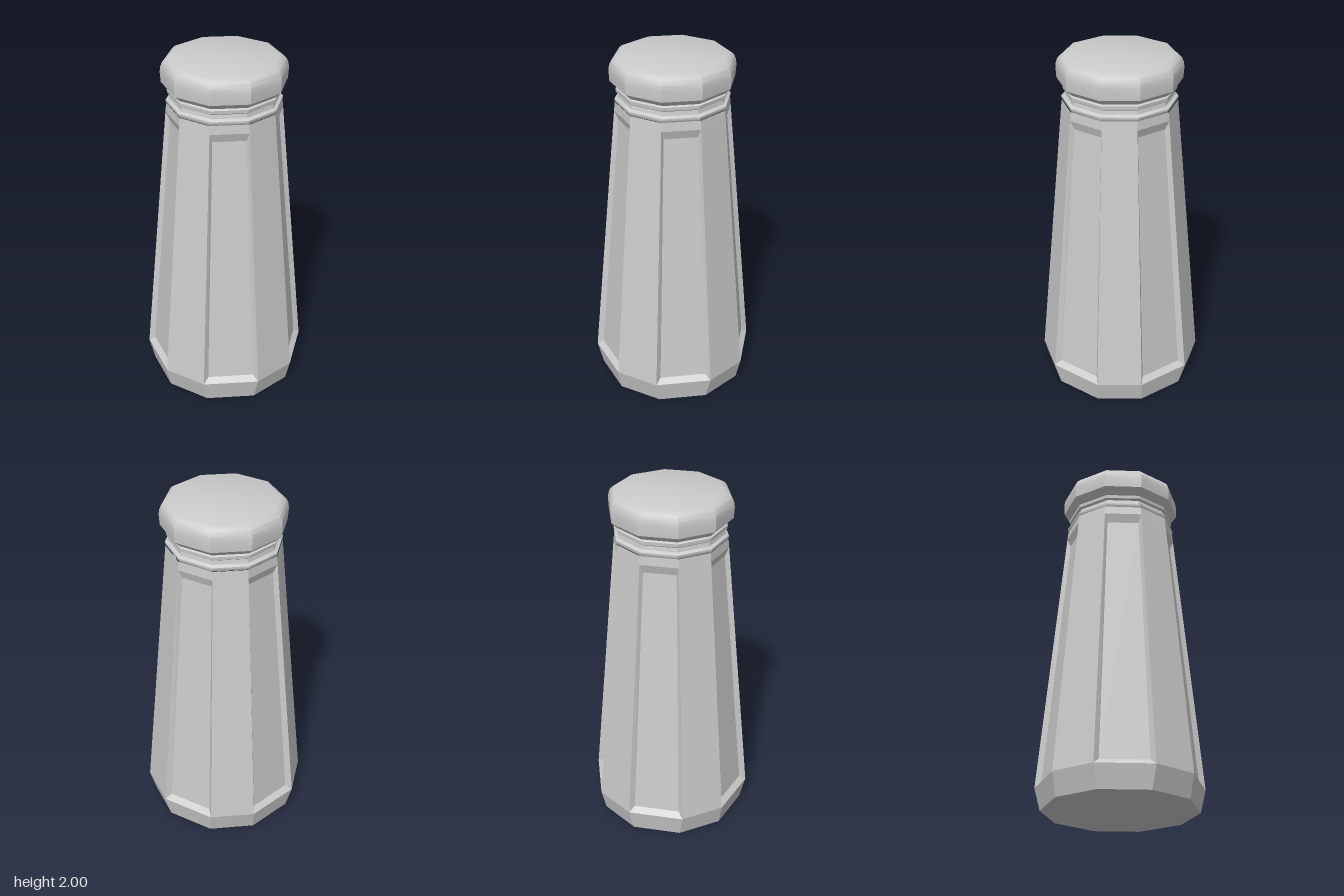
import * as THREE from 'three';
import { toCreasedNormals } from 'three/addons/utils/BufferGeometryUtils.js';

const material = new THREE.MeshStandardMaterial({ color: 0xcccccc });
const flat = new THREE.MeshStandardMaterial({ color: 0xcccccc, flatShading: true });
const DEG = Math.PI / 180;

// Body rings: height, corner radius, half angle of the wide (panelled) faces in degrees
const RINGS = [[0, 0.435, 18.6], [0.13, 0.468, 20], [1.69, 0.322, 19.1], [1.74, 0.317, 19]];

// Point at an angle around y, measured from the front towards +x
const polar = (r, deg, y) => new THREE.Vector3(r * Math.sin(deg * DEG), y, r * Math.cos(deg * DEG));

function bodyGeometry() {
  const pos = [];
  const tri = (...pts) => pts.forEach(p => pos.push(p.x, p.y, p.z));
  // Corners counter-clockwise seen from outside
  const quad = (a, b, c, d) => { tri(a, b, c); tri(a, c, d); };
  const axisBottom = new THREE.Vector3(0, 0, 0);

  for (let k = 0; k < 5; k++) {
    const mid = 72 * k;
    const left = RINGS.map(([y, r, h]) => polar(r, mid - h, y));
    const right = RINGS.map(([y, r, h]) => polar(r, mid + h, y));
    const next = RINGS.map(([y, r, h]) => polar(r, mid + 72 - h, y));

    // Narrow plain face and the bottom
    for (let i = 0; i < 3; i++) quad(right[i], next[i], next[i + 1], right[i + 1]);
    tri(axisBottom, right[0], left[0]);
    tri(axisBottom, next[0], right[0]);

    // Wide face: foot, strip above the panel, then the sunken panel with sloped walls
    quad(left[0], right[0], right[1], left[1]);
    quad(left[2], right[2], right[3], left[3]);
    const inset = (x, y, z) => new THREE.Vector3(x, y, z).applyAxisAngle(new THREE.Vector3(0, 1, 0), mid * DEG);
    const inner = [inset(-0.132, 0.16, 0.41), inset(0.132, 0.16, 0.41), inset(0.09, 1.64, 0.287), inset(-0.09, 1.64, 0.287)];
    const outer = [left[1], right[1], right[2], left[2]];
    quad(...inner);
    for (let i = 0; i < 4; i++) {
      const j = (i + 1) % 4;
      quad(outer[i], outer[j], inner[j], inner[i]);
    }
  }
  const geo = new THREE.BufferGeometry();
  geo.setAttribute('position', new THREE.Float32BufferAttribute(pos, 3));
  geo.computeVertexNormals();
  return geo;
}

// Ten-sided turned part with a corner on the x axis
function tenSided(profile) {
  const points = profile.map(([r, y]) => new THREE.Vector2(r, y));
  return toCreasedNormals(new THREE.LatheGeometry(points, 10, 18 * DEG), 0.6);
}

export function createModel() {
  const group = new THREE.Group();
  const add = (name, geo, mat) => {
    const mesh = new THREE.Mesh(geo, mat);
    mesh.name = name;
    group.add(mesh);
  };

  add('body', bodyGeometry(), flat);

  // Collar rings between body and cap
  add('neckRings', tenSided([
    [0.29, 1.735], [0.312, 1.738], [0.319, 1.75], [0.319, 1.762], [0.302, 1.772],
    [0.298, 1.795], [0.31, 1.803], [0.312, 1.822], [0.295, 1.832], [0.29, 1.845],
  ]), material);

  // Cap with a rounded shoulder and flat top
  add('cap', tenSided([
    [0, 1.832], [0.308, 1.832], [0.342, 1.865], [0.346, 1.925],
    [0.342, 1.955], [0.332, 1.978], [0.318, 1.992], [0.298, 2], [0, 2],
  ]), material);

  return group;
}
